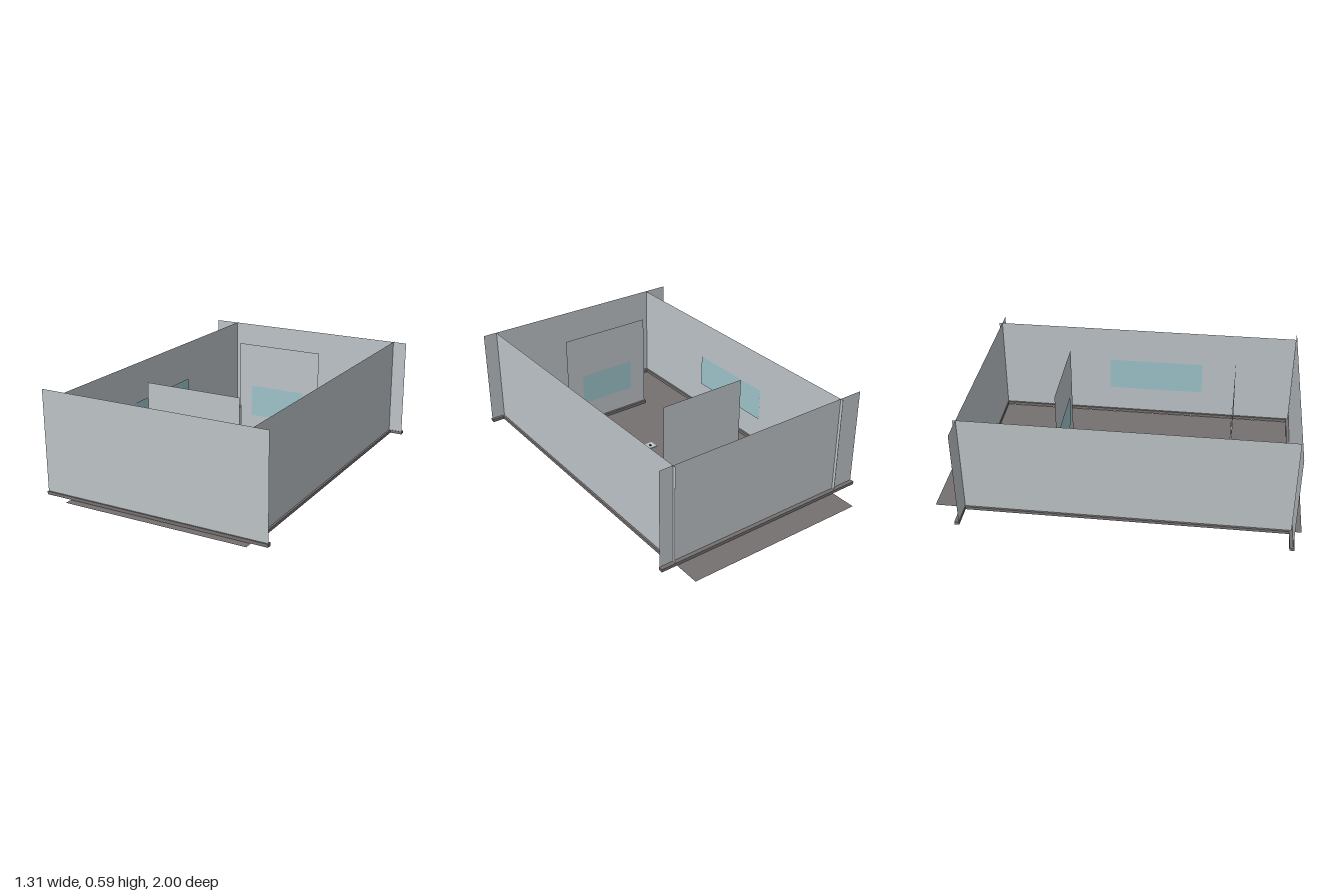
import * as THREE from 'three';

export function createModel() {
  const model = new THREE.Group();
  model.name = 'openRoom';

  const flat = (name, color, side = THREE.FrontSide) => {
    const m = new THREE.MeshStandardMaterial({ color, side });
    m.name = name;
    return m;
  };
  const wallGrey = flat('wall grey', 0xbdc3c7, THREE.DoubleSide);
  const floorGrey = flat('floor grey', 0x767171, THREE.DoubleSide);
  const glassTeal = flat('window teal', 0x9dc3c9);
  const black = flat('marker black', 0x1c1c1c);

  const add = (name, geometry, material, x, y, z, turn = 0) => {
    const mesh = new THREE.Mesh(geometry, material);
    mesh.name = name;
    mesh.position.set(x, y, z);
    mesh.rotation.y = turn;
    model.add(mesh);
    return mesh;
  };
  // Box given by its lower and upper corners
  const block = (name, material, [x0, y0, z0], [x1, y1, z1]) =>
    add(name, new THREE.BoxGeometry(x1 - x0, y1 - y0, z1 - z0), material,
      (x0 + x1) / 2, (y0 + y1) / 2, (z0 + z1) / 2);
  // Upright sheet across x, or across z
  const sheetX = (name, material, x0, x1, y0, y1, z, turn = 0) =>
    add(name, new THREE.PlaneGeometry(x1 - x0, y1 - y0), material,
      (x0 + x1) / 2, (y0 + y1) / 2, z, turn);
  const sheetZ = (name, material, z0, z1, y0, y1, x, turn = Math.PI / 2) =>
    add(name, new THREE.PlaneGeometry(z1 - z0, y1 - y0), material,
      x, (y0 + y1) / 2, (z0 + z1) / 2, turn);

  const top = 0.588, low = 0.02, railLow = 0.011, railTop = 0.028;

  // Floor sheet
  const floor = add('floor', new THREE.PlaneGeometry(1.06, 2), floorGrey, 0.03, 0.01, 0);
  floor.rotation.x = -Math.PI / 2;

  // Sheets across the room, each standing in a base rail
  for (const [name, x0, x1, z, railZ] of [
    ['frontWall', -0.652, 0.65, 0.95, 0.945],
    ['backWall', -0.652, 0.65, -0.828, -0.838],
    ['frontPartition', -0.245, 0.30, 0.597, 0.597],
    ['backPartition', -0.225, 0.29, -0.36, -0.36],
  ]) {
    sheetX(name, wallGrey, x0, x1, low, top, z);
    block(name + 'Rail', floorGrey, [x0 - 0.002, railLow, railZ - 0.013], [x1 + 0.002, railTop, railZ + 0.013]);
  }

  // Long side walls and their rails; the walls poke slightly through the back wall
  for (const [name, x] of [['leftWall', 0.57], ['rightWall', -0.51]]) {
    sheetZ(name, wallGrey, -0.846, 0.945, low, top, x);
    block(name + 'Rail', floorGrey, [x - 0.011, railLow, -0.825], [x + 0.011, railTop, 0.932]);
  }

  // Windows on the inner faces
  sheetX('backPartitionWindow', glassTeal, -0.145, 0.19, 0.15, 0.335, -0.354);
  sheetX('frontPartitionWindow', glassTeal, -0.14, 0.20, 0.15, 0.335, 0.591, Math.PI);
  sheetZ('rightWindow', glassTeal, -0.21, 0.34, 0.175, 0.365, -0.504);
  sheetZ('leftWindow', glassTeal, -0.165, 0.40, 0.185, 0.38, 0.564, -Math.PI / 2);

  // Small square plate through the floor with a dark spot
  block('floorPlate', wallGrey, [0, 0, 0.113], [0.054, 0.014, 0.167]);
  add('plateSpot', new THREE.CylinderGeometry(0.008, 0.008, 0.004, 12), black, 0.027, 0.015, 0.14);

  return model;
}
